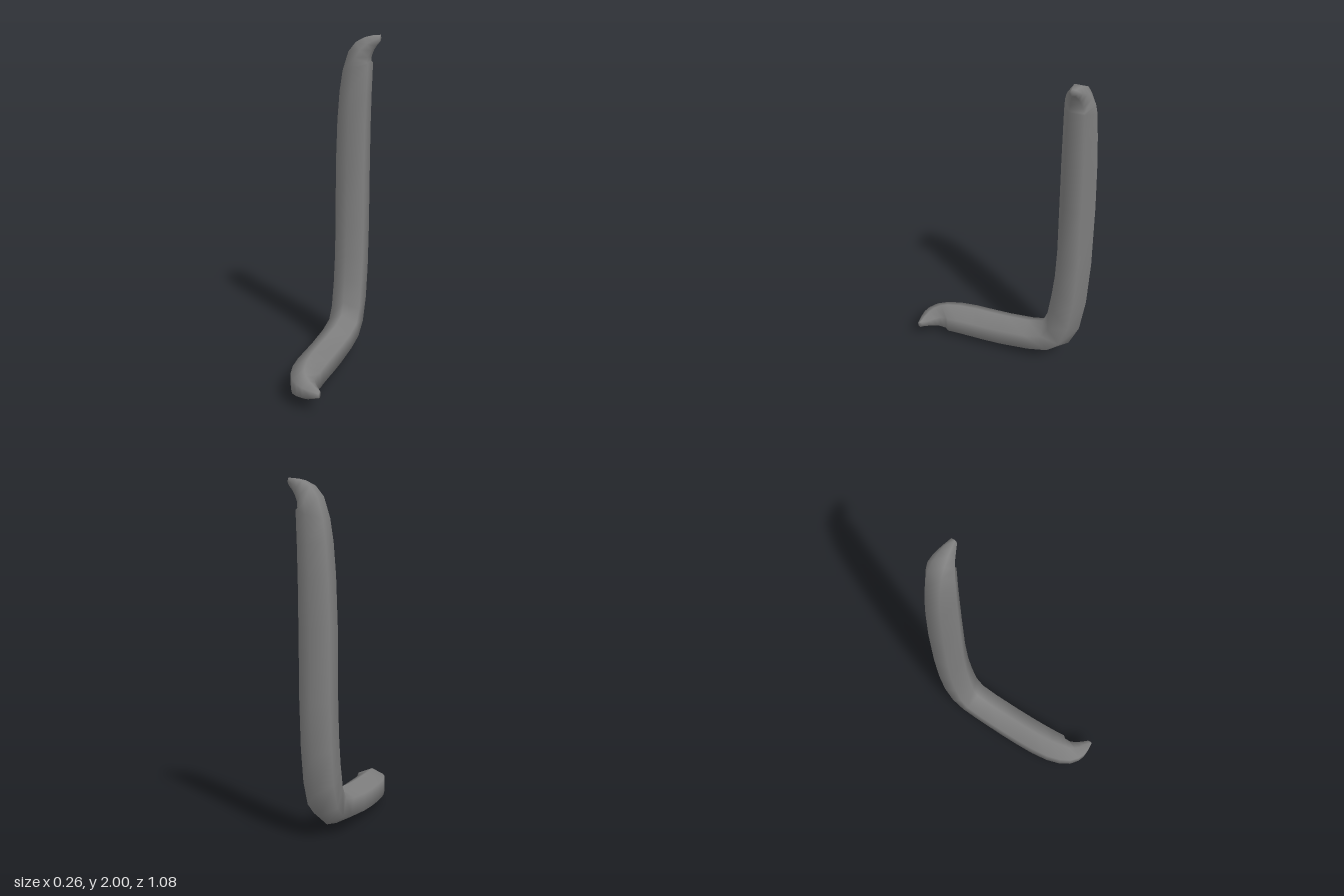
import * as THREE from 'three';

const V3 = (x, y, z) => new THREE.Vector3(x, y, z);

// A hexagonal ring: centre, half-vector across the flats (u), half-vector to the points (v)
function ringFrom(left, right, v) {
  const c = left.clone().add(right).multiplyScalar(0.5);
  const u = right.clone().sub(left).multiplyScalar(0.5);
  return { c, u, v };
}

// Hooked tip of the foot: left x, z, right x, z, half height (tip first)
const footHook = [
  [0.13, 0.537, 0.13, 0.508, 0.021],
  [0.08, 0.541, 0.098, 0.476, 0.04],
  [0.03, 0.538, 0.072, 0.445, 0.058],
  [-0.01, 0.522, 0.055, 0.415, 0.074],
  [-0.055, 0.485, 0.052, 0.378, 0.088],
  [-0.09, 0.425, 0.066, 0.358, 0.097],
  [-0.115, 0.34, 0.06, 0.295, 0.102],
  [-0.127, 0.23, 0.056, 0.2, 0.106],
  [-0.13, 0.12, 0.055, 0.12, 0.106],
].map(([lx, lz, rx, rz, h]) => ringFrom(V3(lx, 0.111, lz), V3(rx, 0.111, rz), V3(0, h, 0)));

// Bend between foot and shaft: outer z, y, inner z, y
const bend = [
  [0.0, 0.01, 0.0, 0.222],
  [-0.2, 0.035, -0.15, 0.236],
  [-0.33, 0.066, -0.25, 0.265],
  [-0.425, 0.14, -0.28, 0.34],
  [-0.487, 0.28, -0.302, 0.49],
  [-0.521, 0.5, -0.318, 0.64],
  [-0.538, 0.8, -0.327, 0.83],
].map(([zo, yo, zi, yi]) => ({
  c: V3(-0.038, (yo + yi) / 2, (zo + zi) / 2),
  u: V3(0.0925, 0, 0),
  v: V3(0, (yi - yo) / 2, (zi - zo) / 2),
}));

// Hooked tip of the shaft: left x, y, right x, y, half depth (tip last)
const shaftHook = [
  [-0.13, 1.2, 0.055, 1.2, 0.106],
  [-0.121, 1.48, 0.058, 1.46, 0.103],
  [-0.108, 1.66, 0.063, 1.64, 0.098],
  [-0.09, 1.785, 0.071, 1.83, 0.092],
  [-0.055, 1.9, 0.062, 1.838, 0.085],
  [-0.01, 1.958, 0.066, 1.87, 0.07],
  [0.04, 1.985, 0.085, 1.91, 0.052],
  [0.08, 1.995, 0.105, 1.937, 0.038],
  [0.13, 2.0, 0.13, 1.963, 0.021],
].map(([lx, ly, rx, ry, d]) => ringFrom(V3(lx, ly, -0.435), V3(rx, ry, -0.435), V3(0, 0, d)));

// Skin a run of six-sided rings, sharing vertices for smooth shading
function skin(rings) {
  const pos = [], index = [], n = 6, last = (rings.length - 1) * n;
  for (const { c, u, v } of rings) {
    for (let k = 0; k < n; k++) {
      const t = Math.PI / 6 + (k * Math.PI) / 3;
      const p = c.clone()
        .addScaledVector(u, Math.cos(t) / Math.cos(Math.PI / 6))
        .addScaledVector(v, Math.sin(t));
      pos.push(p.x, p.y, p.z);
    }
  }
  for (let i = 0; i < rings.length - 1; i++) {
    for (let k = 0; k < n; k++) {
      const a = i * n + k, b = i * n + ((k + 1) % n);
      index.push(a, a + n, b, b, a + n, b + n);
    }
  }
  // End caps
  for (let k = 1; k < n - 1; k++) {
    index.push(0, k, k + 1, last, last + k + 1, last + k);
  }
  const g = new THREE.BufferGeometry();
  g.setAttribute('position', new THREE.Float32BufferAttribute(pos, 3));
  g.setIndex(index);
  g.computeVertexNormals();
  return g;
}

export function createModel() {
  const group = new THREE.Group();
  group.name = 'bentBar';
  const material = new THREE.MeshStandardMaterial({ color: 0x808080, side: THREE.DoubleSide });
  const bar = new THREE.Mesh(skin([...footHook, ...bend, ...shaftHook]), material);
  bar.name = 'hookedBar';
  group.add(bar);
  return group;
}
